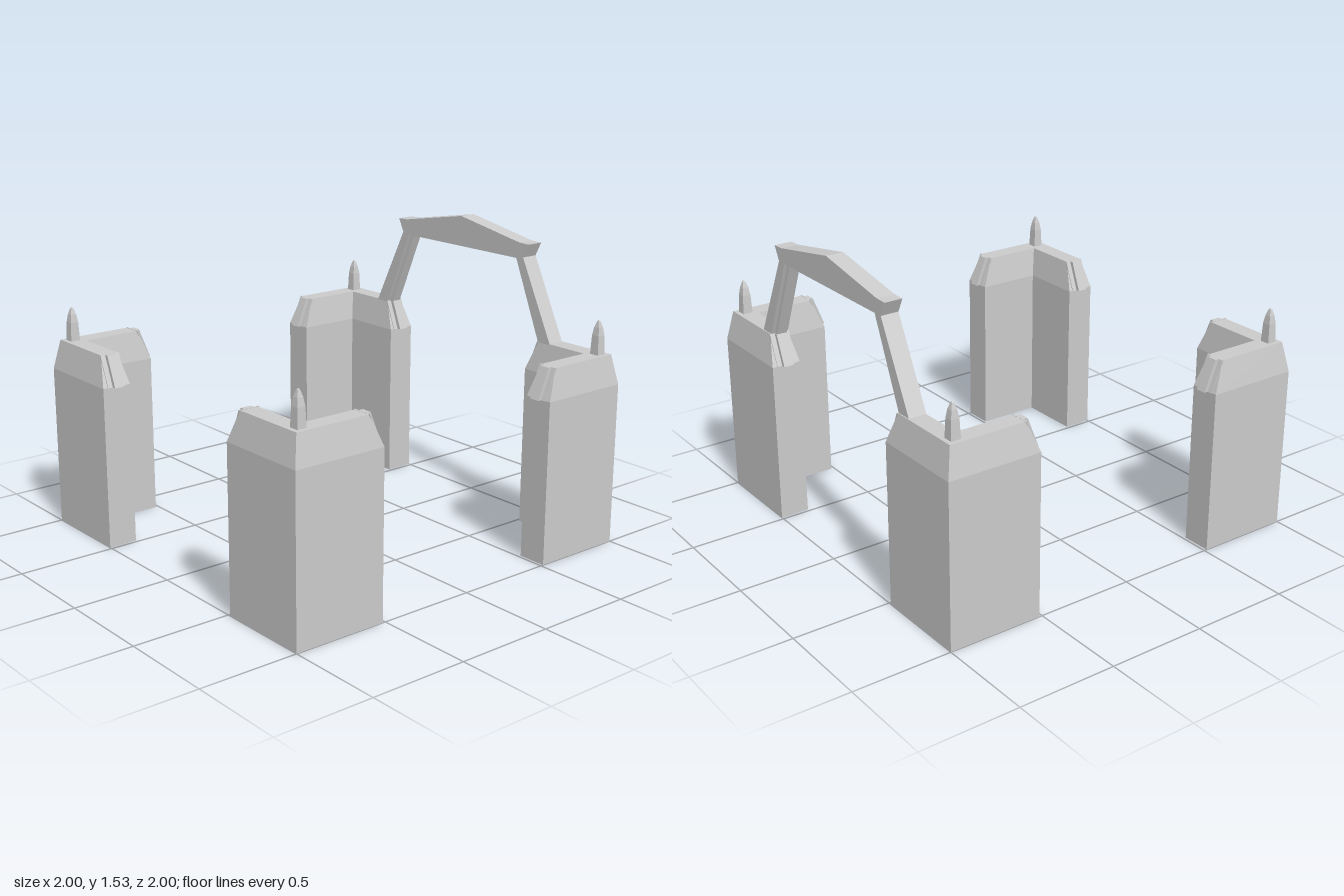
import * as THREE from 'three';

const material = new THREE.MeshStandardMaterial({ color: 0xcccccc, flatShading: true });
const CENTRE = 0.923; // centre line of the walls
const EAVE = 0.825; // where the sloping cap begins
const TOP = 0.976; // flat top of the piers

function addMesh(parent, geometry, name) {
  const mesh = new THREE.Mesh(geometry, material);
  mesh.name = name;
  parent.add(mesh);
  return mesh;
}

// Profile of [along, y] points given a width, running along x or z
function slab(points, width, axis, offset) {
  const shape = new THREE.Shape(points.map(([a, y]) => new THREE.Vector2(a, y)));
  const g = new THREE.ExtrudeGeometry(shape, { depth: width, bevelEnabled: false });
  g.translate(0, 0, -width / 2);
  if (axis === 'z') return g.rotateY(-Math.PI / 2).translate(offset, 0, 0);
  return g.translate(0, 0, offset);
}

// L-shaped cross-section: outer edge, inner face, arm end
function section(outer, inner, end, y, sx, sz) {
  const pts = [[outer, outer], [outer, end], [inner, end], [inner, inner], [end, inner], [end, outer]];
  if (sx * sz < 0) pts.reverse();
  return pts.map(([x, z]) => new THREE.Vector3(x * sx, y, z * sz));
}

// Pier body: straight L-shaped walls with a sloping cap
function pierGeometry(sx, sz) {
  const rings = [
    section(1, 0.85, 0.515, 0, sx, sz),
    section(1, 0.85, 0.515, EAVE, sx, sz),
    section(0.97, 0.877, 0.576, TOP, sx, sz),
  ];
  const pos = [];
  const tri = (...v) => v.forEach((p) => pos.push(p.x, p.y, p.z));
  for (let r = 0; r < 2; r++) {
    const lo = rings[r], hi = rings[r + 1];
    for (let i = 0; i < 6; i++) {
      const j = (i + 1) % 6;
      tri(lo[i], lo[j], hi[j]);
      tri(lo[i], hi[j], hi[i]);
    }
  }
  // End caps, each turned to face outward
  for (const [ring, up] of [[rings[0], -1], [rings[2], 1]]) {
    const flat = ring.map((p) => new THREE.Vector2(p.x, p.z));
    for (const [a, b, c] of THREE.ShapeUtils.triangulateShape(flat, [])) {
      const A = ring[a], B = ring[b], C = ring[c];
      const ny = new THREE.Vector3().subVectors(B, A).cross(new THREE.Vector3().subVectors(C, A)).y;
      if (ny * up > 0) tri(A, B, C);
      else tri(A, C, B);
    }
  }
  const g = new THREE.BufferGeometry();
  g.setAttribute('position', new THREE.Float32BufferAttribute(pos, 3));
  g.computeVertexNormals();
  return g;
}

// Square, pointed finial
function finialGeometry() {
  const profile = [[0, 0.97], [0.025, 0.97], [0.021, 1.07], [0.015, 1.11], [0.006, 1.14], [0, 1.148]]
    .map(([r, y]) => new THREE.Vector2(r * Math.SQRT2, y));
  return new THREE.LatheGeometry(profile, 4, Math.PI / 4);
}

function createPier(sx, sz) {
  const pier = new THREE.Group();
  pier.name = 'cornerPier';
  addMesh(pier, pierGeometry(sx, sz), 'pierBody');
  addMesh(pier, finialGeometry(), 'finial').position.set(CENTRE * sx, 0, CENTRE * sz);
  // Stepped ribs on the sloping end of each arm
  for (const [axis, s, o] of [['x', sx, sz], ['z', sz, sx]]) {
    const strip = (proud, width, name) => {
      const pts = [[0.515 - proud, EAVE], [0.576 - proud, TOP + 0.001], [0.58, TOP + 0.001], [0.519, EAVE]];
      addMesh(pier, slab(pts.map(([a, y]) => [a * s, y]), width, axis, CENTRE * o), name);
    };
    strip(0.004, 0.104, 'ribBacking');
    strip(0.025, 0.052, 'endRib');
  }
  return pier;
}

function createArch() {
  const arch = new THREE.Group();
  arch.name = 'sideArch';
  const x = 0.92;
  // Slanting legs with a narrow rib on the inner face
  for (const s of [-1, 1]) {
    const mirror = (pts) => pts.map(([z, y]) => [z * s, y]);
    addMesh(arch, slab(mirror([[0.655, 0.972], [0.45, 1.386], [0.4, 1.386], [0.575, 0.972]]), 0.09, 'z', x), 'archLeg');
    addMesh(arch, slab(mirror([[0.58, 0.972], [0.405, 1.386], [0.385, 1.371], [0.553, 0.972]]), 0.052, 'z', x), 'legRib');
  }
  // Gabled lintel with flared ends
  const lintel = [[0.45, 1.384], [0.485, 1.455], [0.42, 1.457], [0, 1.533],
    [-0.42, 1.457], [-0.485, 1.455], [-0.45, 1.384]];
  addMesh(arch, slab(lintel, 0.09, 'z', x), 'lintel');
  const rib = [[0.385, 1.37], [0.405, 1.388], [-0.405, 1.388], [-0.385, 1.37]];
  addMesh(arch, slab(rib, 0.052, 'z', x), 'lintelRib');
  return arch;
}

export function createModel() {
  const model = new THREE.Group();
  model.name = 'gateway';
  for (const sx of [-1, 1]) for (const sz of [-1, 1]) model.add(createPier(sx, sz));
  model.add(createArch());
  return model;
}
